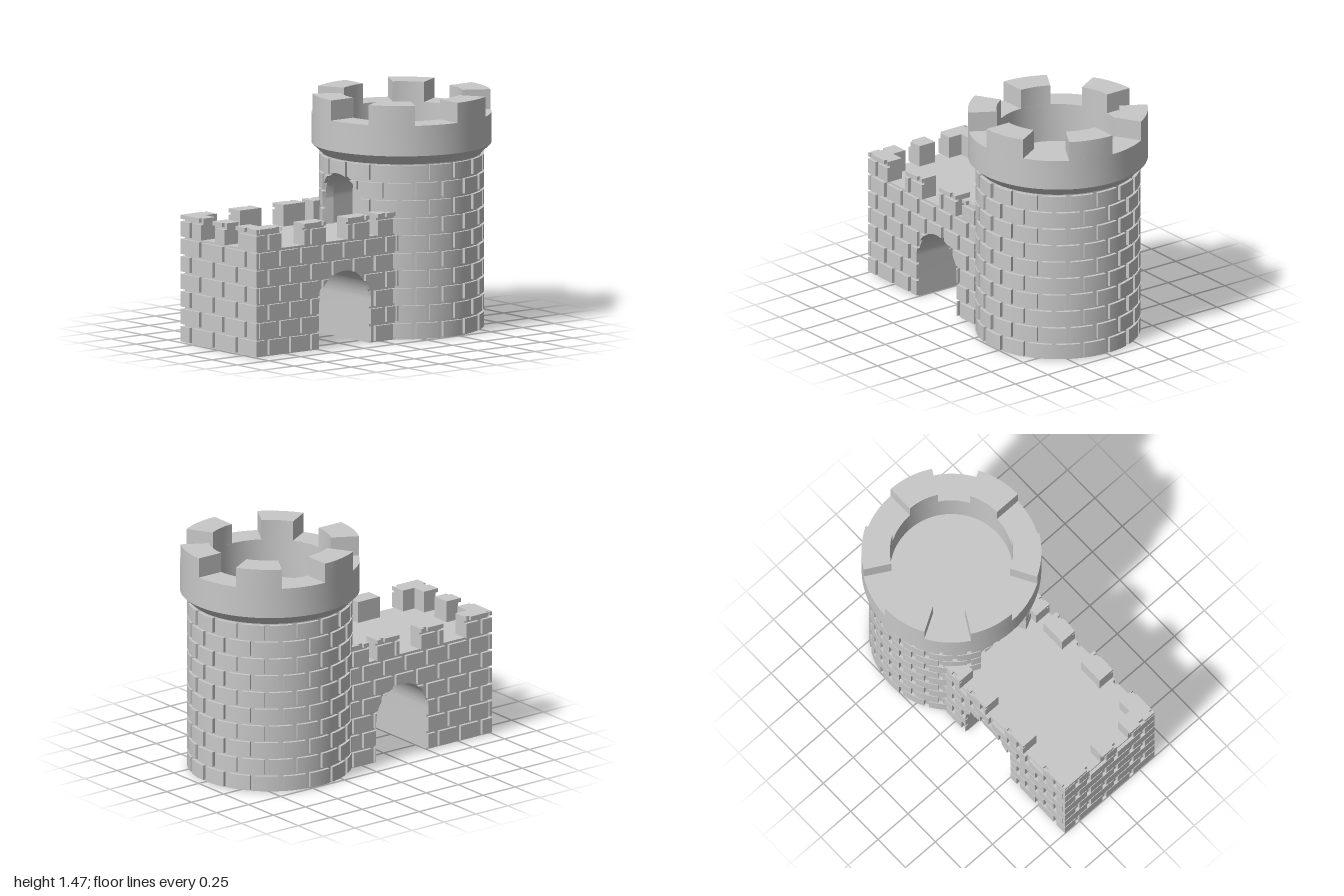
import * as THREE from 'three';
import { mergeGeometries, toCreasedNormals } from 'three/addons/utils/BufferGeometryUtils.js';

const TOWER_Z = -0.445, CORE_R = 0.49, RELIEF = 0.02;
const DECK = 0.665, MERLON_TOP = 0.8;
const ROW = 0.1095, BRICK_H = 0.095;

// Arched openings: centre and half width along the wall, spring line, arch rise, sill
const DOOR = { c: 0, w: Math.asin(0.18 / CORE_R), spring: 0.83, rise: 0.18, sill: DECK };
const PASSAGE = { c: -0.3, w: 0.205, spring: 0.27, rise: 0.205, sill: 0 };

const archY = (o, u) => o.spring + o.rise * Math.sqrt(Math.max(0, 1 - ((u - o.c) / o.w) ** 2));

// Wall mappings: (distance along wall, height, depth outwards) -> position
const onCylinder = r => (u, y, d) => [(r + d) * Math.sin(u), y, TOWER_Z + (r + d) * Math.cos(u)];
const onFront = (u, y, d) => [u, y, 0.98 + d];
const onSide = (u, y, d) => [0.355 + d, y, -u];

// Solid slab following a wall; its lower edge may follow an arch
function slab(place, u0, u1, low, top, thick, n = 6) {
  const pos = [], idx = [];
  for (let i = 0; i <= n; i++) {
    const u = u0 + (u1 - u0) * i / n, y = low(u);
    pos.push(...place(u, y, 0), ...place(u, y, thick), ...place(u, top, thick), ...place(u, top, 0));
  }
  for (let i = 0; i < n; i++) {
    for (let j = 0; j < 4; j++) {
      const a = i * 4 + j, d = i * 4 + (j + 1) % 4;
      idx.push(a, a + 4, d + 4, a, d + 4, d);
    }
  }
  const e = n * 4;
  idx.push(0, 1, 2, 0, 2, 3, e, e + 2, e + 1, e, e + 3, e + 2);
  const g = new THREE.BufferGeometry();
  g.setAttribute('position', new THREE.Float32BufferAttribute(pos, 3));
  g.setIndex(idx);
  return toCreasedNormals(g, 0.5);
}

// One course of bricks, trimmed to the wall segments and around an opening
function course(out, place, segments, phase, pitch, gap, y0, y1, open) {
  const cut = open && y0 > open.sill - 0.02 && y0 < open.spring + open.rise;
  const edges = [];
  if (cut) {
    const { c, w, spring, rise } = open;
    const e = y1 <= spring ? w : y1 < spring + rise ? w * Math.sqrt(1 - ((y1 - spring) / rise) ** 2) : 0;
    edges.push([-99, c - w]);
    if (e === 0) edges.push([c - w, c + w]);
    else if (e < w) edges.push([c - w, c - e], [c + e, c + w]);
    edges.push([c + w, 99]);
  } else edges.push([-99, 99]);
  for (const [s0, s1] of segments) {
    for (let k = Math.floor((s0 - phase) / pitch); phase + k * pitch < s1; k++) {
      for (const [e0, e1] of edges) {
        const a = Math.max(s0, e0, phase + k * pitch + gap / 2);
        const b = Math.min(s1, e1, phase + (k + 1) * pitch - gap / 2);
        if (b - a < 0.004) continue;
        const inArch = cut && Math.abs((a + b) / 2 - open.c) < open.w;
        const low = u => inArch ? Math.min(y1, Math.max(y0, archY(open, u))) : y0;
        out.push(slab(place, a, b, low, y1, RELIEF, inArch ? 14 : 6));
      }
    }
  }
}

export function createModel() {
  const root = new THREE.Group();
  const stone = new THREE.MeshStandardMaterial({ color: 0xc8c8c8, side: THREE.DoubleSide });
  stone.name = 'grey stone';
  const add = (name, geo, parent = root) => {
    const m = new THREE.Mesh(geo, stone);
    m.name = name;
    parent.add(m);
    return m;
  };
  const tower = new THREE.Group();
  tower.name = 'tower';
  const gatehouse = new THREE.Group();
  gatehouse.name = 'gatehouse';
  root.add(tower, gatehouse);

  // Tower core: solid base, then a wall band with the arched door cut out
  const base = new THREE.CylinderGeometry(CORE_R, CORE_R, 0.664, 72);
  base.translate(0, 0.332, TOWER_Z);
  add('towerBase', base, tower);
  const wall = onCylinder(CORE_R - 0.05);
  add('towerWall', mergeGeometries([
    slab(wall, DOOR.w, Math.PI * 2 - DOOR.w, () => 0.66, 1.1, 0.05, 64),
    slab(wall, -DOOR.w, DOOR.w, u => archY(DOOR, u), 1.1, 0.05, 28),
  ]), tower);

  // Door recess: jambs and vault, then the flat back
  const doorShape = new THREE.Shape();
  doorShape.moveTo(0.18, 0.664);
  doorShape.lineTo(0.18, DOOR.spring);
  doorShape.absarc(0, DOOR.spring, 0.18, 0, Math.PI, false);
  doorShape.lineTo(-0.18, 0.664);
  const outline = doorShape.getPoints(24);
  const liner = new THREE.PlaneGeometry(1, 1, outline.length - 1, 1);
  const lp = liner.attributes.position;
  for (let i = 0; i < lp.count; i++) {
    const p = outline[i % outline.length];
    const front = TOWER_Z + Math.sqrt(CORE_R ** 2 - p.x ** 2);
    lp.setXYZ(i, p.x, p.y, i < outline.length ? front : -0.2);
  }
  add('doorRecess', toCreasedNormals(liner, 0.5), tower);
  add('doorBack', new THREE.ShapeGeometry(doorShape, 24).translate(0, 0, -0.2), tower);

  // Tower bricks
  const towerBricks = [], step = Math.PI / 9;
  for (let r = 0; r < 10; r++) {
    const y = 0.008 + r * ROW, phase = r % 2 ? step / 2 : 0;
    course(towerBricks, onCylinder(CORE_R), [[phase - Math.PI, phase + Math.PI - 0.001]],
      phase, step, 0.06, y, y + BRICK_H, DOOR);
  }
  add('towerBricks', mergeGeometries(towerBricks), tower);

  // Flared crown with a sunken floor, and six merlons
  const profile = [[0.485, 1.09], [0.555, 1.155], [0.555, 1.345], [0.38, 1.345], [0.38, 1.1], [0, 1.1]];
  const crown = new THREE.LatheGeometry(profile.map(p => new THREE.Vector2(...p)), 72);
  crown.deleteAttribute('normal');
  crown.translate(0, 0, TOWER_Z);
  add('crown', toCreasedNormals(crown, 0.5), tower);
  for (let k = 0; k < 6; k++) {
    const a = (k * 2 + 1) * Math.PI / 6;
    add('crownMerlon', slab(onCylinder(0.38), a, a + Math.PI / 6, () => 1.345, 1.47, 0.175, 8), tower);
  }

  // Gatehouse core with the arched passage running through it
  const side = new THREE.Shape();
  side.moveTo(-0.3, 0);
  side.lineTo(0.095, 0);
  side.lineTo(0.095, PASSAGE.spring);
  side.absarc(0.3, PASSAGE.spring, 0.205, Math.PI, 0, true);
  side.lineTo(0.505, 0);
  side.lineTo(0.98, 0);
  side.lineTo(0.98, DECK);
  side.lineTo(-0.3, DECK);
  const core = new THREE.ExtrudeGeometry(side, { depth: 0.71, bevelEnabled: false, curveSegments: 32 });
  core.rotateY(-Math.PI / 2).translate(0.355, 0, 0);
  add('gatehouseCore', toCreasedNormals(core, 0.5), gatehouse);

  // Battlements of the gatehouse
  const box = (name, x0, x1, z0, z1) => {
    const g = new THREE.BoxGeometry(x1 - x0, MERLON_TOP - DECK, z1 - z0);
    add(name, g.translate((x0 + x1) / 2, (MERLON_TOP + DECK) / 2, (z0 + z1) / 2), gatehouse);
  };
  const sideMerlons = [[-0.1, 0.04], [0.105, 0.275], [0.45, 0.62], [0.8, 1]];
  const frontMerlons = [[-0.375, -0.17], [-0.06, 0.06], [0.17, 0.375]];
  for (const [z0, z1] of sideMerlons) {
    box('leftMerlon', 0.265, 0.355, z0, Math.min(z1, 0.98));
    box('rightMerlon', -0.355, -0.265, z0, Math.min(z1, 0.98));
  }
  for (const [x0, x1] of frontMerlons) {
    box('frontMerlon', Math.max(x0, -0.355), Math.min(x1, 0.355), 0.89, 0.98);
  }

  // Gatehouse bricks; the upper two courses only cover the merlons
  const frontBricks = [], sideBricks = [];
  const sideSegments = sideMerlons.map(([a, b]) => [-b, -a]);
  for (let r = 0; r < 8; r++) {
    const y0 = 0.008 + r * ROW, y1 = Math.min(y0 + BRICK_H, MERLON_TOP), odd = r % 2;
    course(frontBricks, onFront, r < 6 ? [[-0.375, 0.375]] : frontMerlons,
      odd ? -0.174 : -0.267, 0.2255, 0.034, y0, y1);
    course(sideBricks, onSide, r < 6 ? [[-1, 0.12]] : sideSegments,
      odd ? -0.82 : -0.91, 0.1675, 0.03, y0, y1, PASSAGE);
  }
  add('frontBricks', mergeGeometries(frontBricks), gatehouse);
  const sideGeo = mergeGeometries(sideBricks);
  add('leftBricks', sideGeo, gatehouse);
  add('rightBricks', sideGeo, gatehouse).scale.x = -1;

  return root;
}
